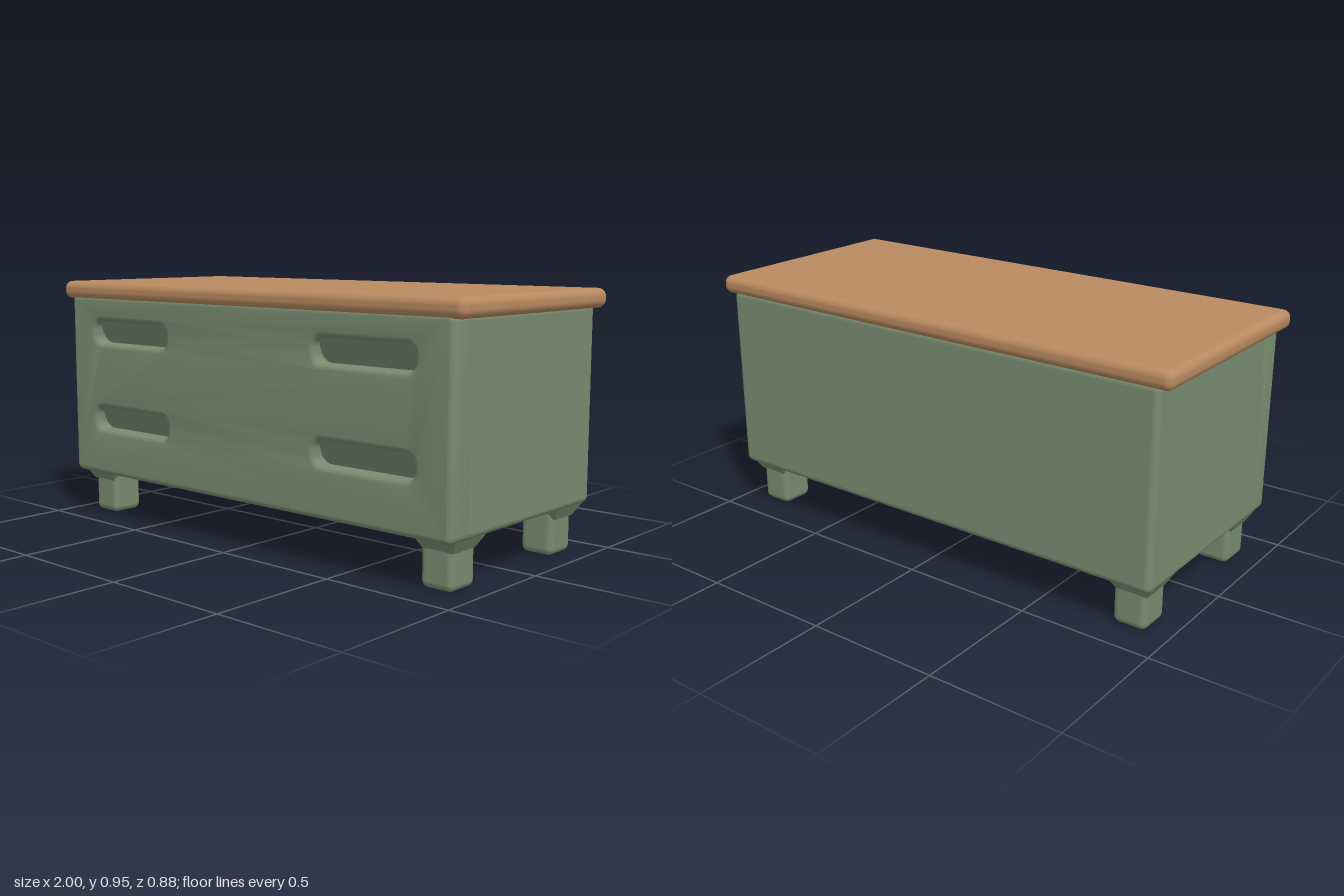
import * as THREE from 'three';
import { toCreasedNormals } from 'three/addons/utils/BufferGeometryUtils.js';
import { RoundedBoxGeometry } from 'three/addons/geometries/RoundedBoxGeometry.js';

const FRONT = 0.43;

// Rounded rectangle outline, used for the front panel and the handle slots
function roundedRect(target, cx, cy, w, h, r) {
  const x0 = cx - w / 2, x1 = cx + w / 2, y0 = cy - h / 2, y1 = cy + h / 2;
  target.moveTo(x0 + r, y0);
  target.lineTo(x1 - r, y0);
  target.absarc(x1 - r, y0 + r, r, -Math.PI / 2, 0);
  target.lineTo(x1, y1 - r);
  target.absarc(x1 - r, y1 - r, r, 0, Math.PI / 2);
  target.lineTo(x0 + r, y1);
  target.absarc(x0 + r, y1 - r, r, Math.PI / 2, Math.PI);
  target.lineTo(x0, y0 + r);
  target.absarc(x0 + r, y0 + r, r, Math.PI, Math.PI * 1.5);
  return target;
}

export function createModel() {
  const group = new THREE.Group();
  const green = new THREE.MeshStandardMaterial({ color: 0x788c6f });
  green.name = 'sage green paint';
  const wood = new THREE.MeshStandardMaterial({ color: 0xb98a60 });
  wood.name = 'warm wood';

  function add(name, geometry, material, x = 0, y = 0, z = 0) {
    const mesh = new THREE.Mesh(geometry, material);
    mesh.name = name;
    mesh.position.set(x, y, z);
    group.add(mesh);
    return mesh;
  }

  // Tabletop and cabinet
  add('tabletop', new RoundedBoxGeometry(2, 0.07, 0.885, 4, 0.03), wood, 0, 0.92, 0);
  add('cabinet', new RoundedBoxGeometry(1.91, 0.725, 0.79, 4, 0.025), green, 0, 0.5375, -0.035);

  // Front panel with four soft-edged handle slots
  const slots = [];
  for (const x of [-0.595, 0.59]) for (const y of [0.755, 0.405]) slots.push([x, y]);
  const outline = roundedRect(new THREE.Shape(), 0, 0.5375, 1.91, 0.725, 0.025);
  for (const [x, y] of slots) {
    outline.holes.push(roundedRect(new THREE.Path(), x, y, 0.43, 0.09, 0.035));
  }
  const panel = new THREE.ExtrudeGeometry(outline, {
    depth: 0.09, bevelThickness: 0.02, bevelSize: 0.02, bevelOffset: -0.02,
    bevelSegments: 4, curveSegments: 6,
  });
  panel.translate(0, 0, FRONT - 0.11);
  add('frontPanel', toCreasedNormals(panel, 0.7), green);

  // Slot backs slope inward toward the bottom, like finger pulls
  for (const [x, y] of slots) {
    const back = new THREE.ShapeGeometry(
      roundedRect(new THREE.Shape(), 0, 0, 0.45, 0.11, 0.035), 6);
    const p = back.attributes.position;
    for (let i = 0; i < p.count; i++) p.setZ(i, 0.022 * (p.getY(i) / 0.055));
    back.computeVertexNormals();
    add('handleRecess', back, green, x, y, FRONT - 0.042);
  }

  // Feet with a tapered bracket under each corner
  for (const side of [-1, 1]) {
    for (const z of [0.298, -0.308]) {
      add('foot', new RoundedBoxGeometry(0.13, 0.21, 0.135, 3, 0.025), green,
        side * 0.85, 0.105, z);
      const bracket = new THREE.CylinderGeometry(0.125, 0.085, 0.05, 4, 1);
      bracket.rotateY(Math.PI / 4);
      add('footBracket', toCreasedNormals(bracket, 0.5), green,
        side * 0.858, 0.158, z + Math.sign(z) * 0.006);
    }
  }
  return group;
}
